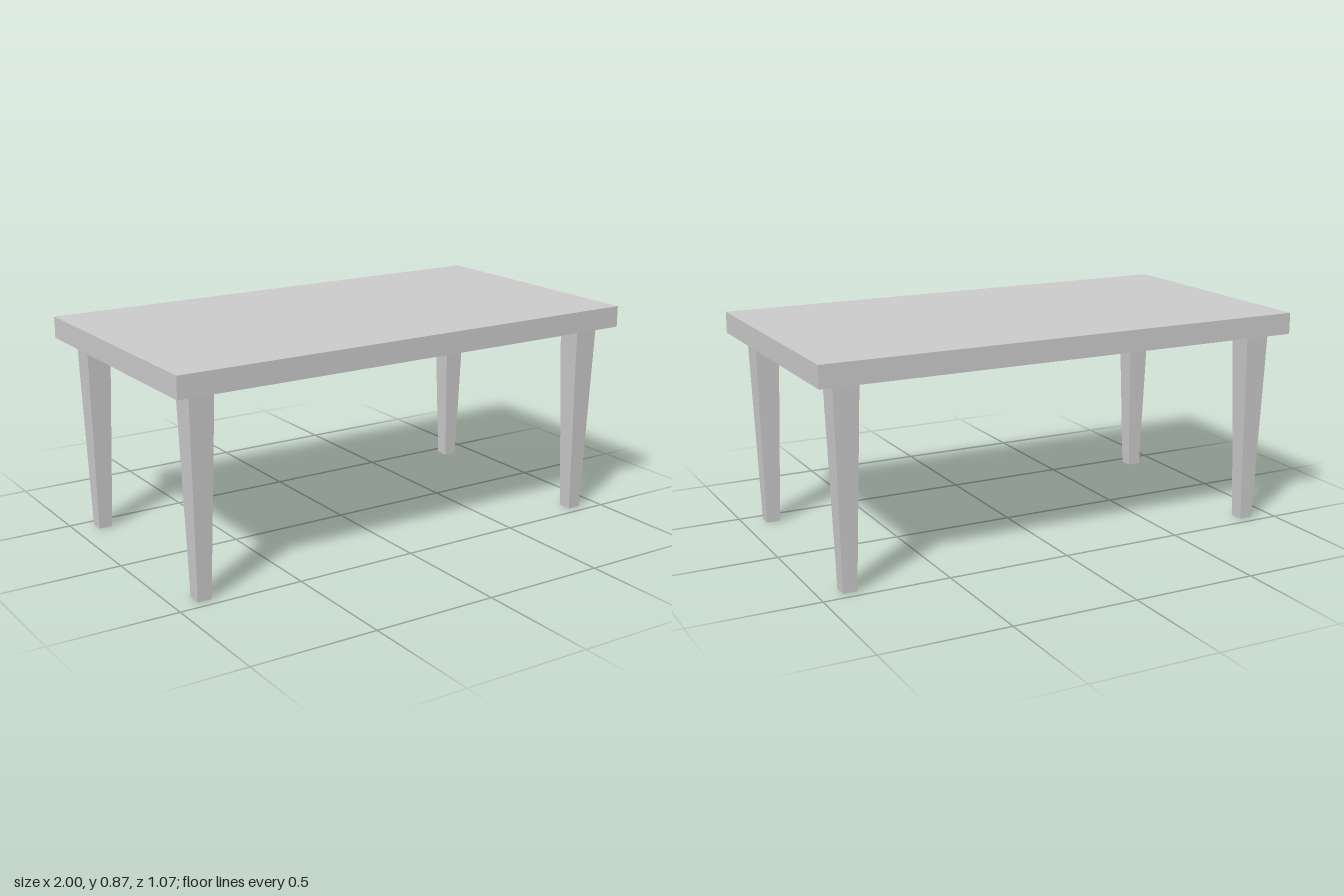
import * as THREE from 'three';

const material = new THREE.MeshStandardMaterial({
  color: 0xcccccc, flatShading: true, side: THREE.DoubleSide,
});

const TOP_Y = 0.872;   // upper face of the table top
const LEG_H = 0.786;   // legs end level with the lower rim of the top

// Table top: a thin shell with four side walls, open underneath
function tableTop() {
  const h = TOP_Y - LEG_H;
  const geometry = new THREE.BoxGeometry(2, h, 1.068);
  const index = Array.from(geometry.index.array);
  index.splice(18, 6); // drop the bottom face
  geometry.setIndex(index);
  geometry.clearGroups();
  const mesh = new THREE.Mesh(geometry, material);
  mesh.name = 'tableTop';
  mesh.position.y = LEG_H + h / 2;
  return mesh;
}

// Square tapered leg, hollow and open at the foot
function legGeometry() {
  const topHalf = 0.05, footHalf = 0.028;
  return new THREE.CylinderGeometry(
    topHalf * Math.SQRT2, footHalf * Math.SQRT2, LEG_H, 4, 1, true,
  ).rotateY(Math.PI / 4);
}

export function createModel() {
  const group = new THREE.Group();
  group.name = 'table';
  group.add(tableTop());

  // One leg near each corner
  const geometry = legGeometry();
  for (const [zName, sz] of [['front', 1], ['back', -1]]) {
    for (const [xName, sx] of [['Left', 1], ['Right', -1]]) {
      const leg = new THREE.Mesh(geometry, material);
      leg.name = `${zName}${xName}Leg`;
      leg.position.set(sx * 0.882, LEG_H / 2, sz * 0.433);
      group.add(leg);
    }
  }
  return group;
}
